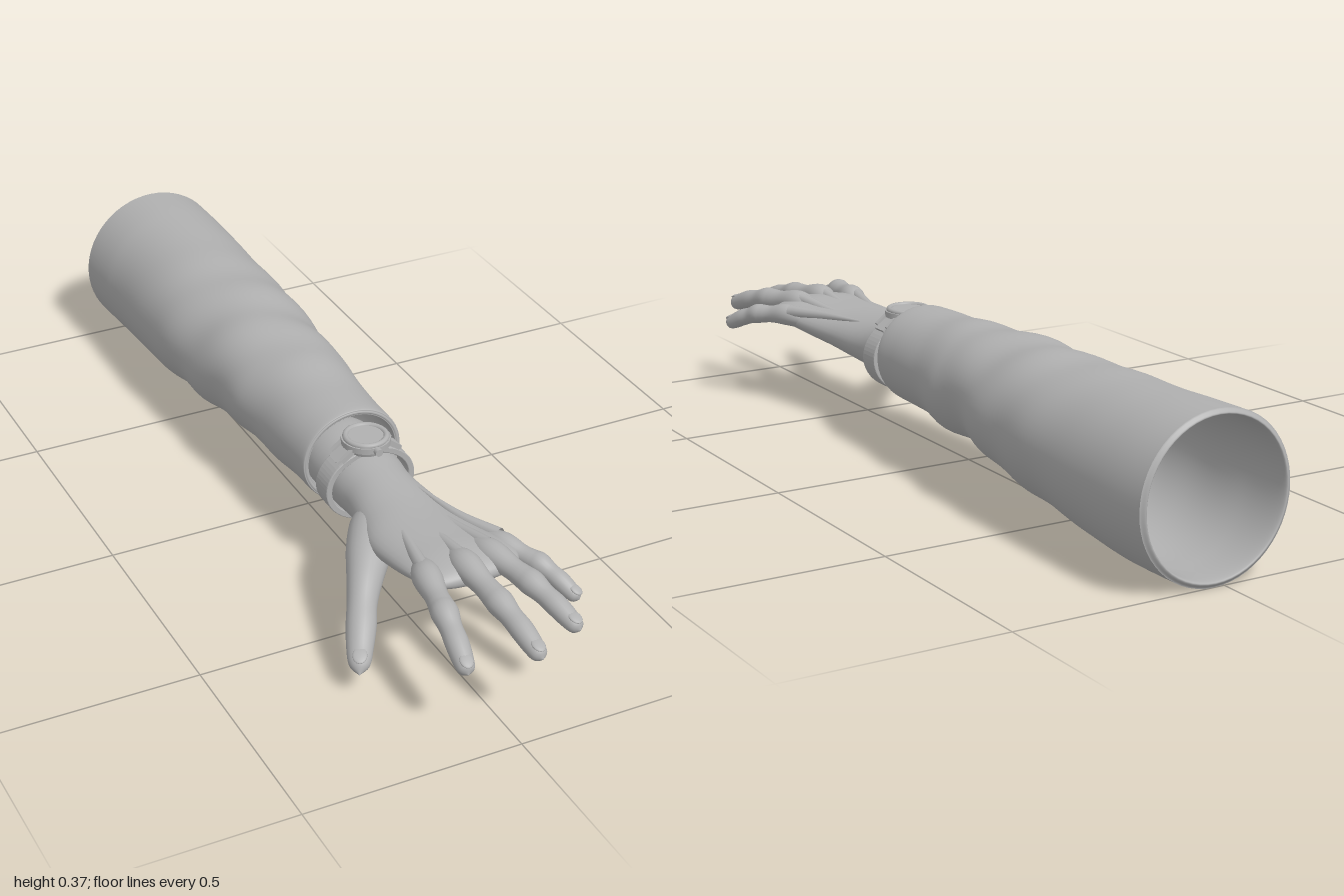
import * as THREE from 'three';

const grey = new THREE.MeshStandardMaterial({ color: 0xb0b0b0, side: THREE.DoubleSide });
grey.name = 'plain grey';

const UP = new THREE.Vector3(0, 1, 0);

function part(name, geometry, parent) {
  const mesh = new THREE.Mesh(geometry, grey);
  mesh.name = name;
  parent.add(mesh);
  return mesh;
}

// Smooth skin over sections [x, y, z, rx, ry]; fixed keeps every ring square to z
function loft(sections, { rings = 40, sides = 24, fixed = false, swell = () => 1 } = {}) {
  const path = new THREE.CatmullRomCurve3(
    sections.map(s => new THREE.Vector3(s[0], s[1], s[2])), false, 'catmullrom', 0.5);
  const size = new THREE.CatmullRomCurve3(
    sections.map(s => new THREE.Vector3(s[3], s[4] ?? s[3], 0)), false, 'catmullrom', 0.5);
  const positions = [], index = [];
  for (let i = 0; i <= rings; i++) {
    const c = path.getPoint(i / rings), r = size.getPoint(i / rings);
    const t = fixed ? new THREE.Vector3(0, 0, 1) : path.getTangent(i / rings);
    const side = UP.clone().cross(t).normalize();
    const v = t.clone().cross(side);
    for (let j = 0; j < sides; j++) {
      const a = j / sides * Math.PI * 2, k = swell(a, c.z);
      const p = c.clone()
        .addScaledVector(side, Math.cos(a) * Math.max(r.x, 0) * k)
        .addScaledVector(v, Math.sin(a) * Math.max(r.y, 0) * k);
      positions.push(p.x, p.y, p.z);
      if (i < rings) {
        const n = (j + 1) % sides, b = i * sides;
        index.push(b + j, b + n, b + sides + j, b + n, b + sides + n, b + sides + j);
      }
    }
  }
  const g = new THREE.BufferGeometry();
  g.setAttribute('position', new THREE.Float32BufferAttribute(positions, 3));
  g.setIndex(index);
  g.computeVertexNormals();
  return g;
}

function addNail(name, from, to, r, parent) {
  const nail = part(name, new THREE.SphereGeometry(1, 16, 10), parent);
  const dir = to.clone().sub(from).normalize();
  const side = UP.clone().cross(dir).normalize();
  const normal = dir.clone().cross(side);
  nail.quaternion.setFromRotationMatrix(new THREE.Matrix4().makeBasis(side, normal, dir));
  nail.position.copy(from).lerp(to, 0.68).addScaledVector(normal, r * 0.82);
  nail.scale.set(r * 0.66, 0.0045, r * 0.85);
}

// Finger from knuckle through middle joint to tip, thicker at the joints
function addFinger(name, knuckle, joint, tip, r, parent) {
  const K = new THREE.Vector3(...knuckle), J = new THREE.Vector3(...joint), T = new THREE.Vector3(...tip);
  const D = J.clone().lerp(T, 0.5).add(new THREE.Vector3(0, 0.004, 0));
  const back = K.clone().add(new THREE.Vector3((0.02 - K.x) * 0.3, -0.012, -0.09));
  const at = (a, b, f, k) => [...a.clone().lerp(b, f).toArray(), r * k];
  const sections = [
    at(back, K, 0, 0.5), at(back, K, 0.5, 1), at(K, J, 0, 1.28), at(K, J, 0.5, 1.02),
    at(K, J, 0.8, 1.1), at(K, J, 1, 1.17), at(J, D, 0.5, 0.97), at(J, D, 1, 1),
    at(D, T, 0.5, 0.9), at(D, T, 0.85, 0.68), at(D, T, 1, 0.02)
  ];
  part(name, loft(sections, { rings: 50, sides: 20 }), parent);
  addNail(name + 'Nail', D, T, r * 0.88, parent);
}

export function createModel() {
  const model = new THREE.Group();
  model.name = 'sleevedArm';

  // Sleeve: outer wall, folded cuff edge, then inner wall back to the open end
  const outer = [
    [0.026, 0.189, -1, 0.185, 0.187], [0.03, 0.189, -0.9, 0.183, 0.186], [0.032, 0.19, -0.8, 0.18, 0.182],
    [0.028, 0.2, -0.6, 0.178, 0.168], [0.03, 0.213, -0.4, 0.168, 0.152],
    [0.024, 0.226, -0.2, 0.146, 0.137], [0.03, 0.227, -0.1, 0.143, 0.131],
    [0.025, 0.226, 0, 0.131, 0.124], [0.025, 0.228, 0.1, 0.126, 0.119], [0.026, 0.228, 0.165, 0.124, 0.117]
  ];
  const inner = outer.slice().reverse().map(([x, y, z, a, b]) => [x, y, z, a - 0.015, b - 0.015]);
  const edge = [[0.026, 0.228, 0.174, 0.119, 0.112], [0.026, 0.228, 0.174, 0.113, 0.106]];
  // Slanting cloth folds, strongest around the forearm
  const folds = (a, z) => {
    const e = Math.exp(-(((z + 0.27) / 0.3) ** 2));
    return 1 + e * (0.026 * Math.sin(z * 32 + a * 2) + 0.014 * Math.sin(z * 19 - a * 3 + 1));
  };
  part('sleeve', loft([...outer, ...edge, ...inner, outer[0]],
    { rings: 220, sides: 56, fixed: true, swell: folds }), model);

  // Hand
  const hand = new THREE.Group();
  hand.name = 'hand';
  model.add(hand);
  part('wristAndPalm', loft([
    [0.02, 0.212, 0.09, 0.001, 0.001], [0.02, 0.212, 0.1, 0.084, 0.078], [0.02, 0.211, 0.25, 0.088, 0.078],
    [0.018, 0.212, 0.33, 0.084, 0.07], [0.016, 0.214, 0.42, 0.098, 0.06], [0.012, 0.218, 0.5, 0.113, 0.053],
    [0.025, 0.226, 0.59, 0.121, 0.046], [0.037, 0.236, 0.66, 0.125, 0.038],
    [0.038, 0.24, 0.71, 0.112, 0.028], [0.038, 0.24, 0.735, 0.08, 0.016], [0.038, 0.24, 0.745, 0.001, 0.001]
  ], { rings: 60, sides: 36, fixed: true }), hand);

  const fingers = [
    ['indexFinger', [-0.065, 0.247, 0.7], [-0.088, 0.24, 0.82], [-0.107, 0.183, 0.955], 0.025],
    ['middleFinger', [0.022, 0.258, 0.71], [0.031, 0.242, 0.84], [0.042, 0.2, 0.995], 0.025],
    ['ringFinger', [0.095, 0.255, 0.69], [0.124, 0.245, 0.81], [0.156, 0.207, 0.952], 0.024],
    ['littleFinger', [0.148, 0.238, 0.65], [0.188, 0.228, 0.735], [0.228, 0.185, 0.832], 0.021]
  ];
  for (const [name, knuckle, joint, tip, r] of fingers) {
    addFinger(name, knuckle, joint, tip, r, hand);
    // Tendon across the back of the hand
    const [x, y, z] = knuckle;
    part(name + 'Tendon', loft([
      [0.02 + (x - 0.02) * 0.4, 0.262, 0.4, 0.003], [0.02 + (x - 0.02) * 0.65, 0.254, 0.53, 0.011],
      [x, y + 0.012, z - 0.02, 0.016]
    ], { rings: 16, sides: 12 }), hand);
  }

  part('thumb', loft([
    [-0.02, 0.205, 0.36, 0.02, 0.02], [-0.045, 0.2, 0.41, 0.048, 0.045], [-0.088, 0.188, 0.48, 0.05, 0.046],
    [-0.128, 0.165, 0.54, 0.04, 0.04], [-0.16, 0.138, 0.59, 0.033, 0.033], [-0.182, 0.115, 0.63, 0.033, 0.031],
    [-0.205, 0.09, 0.67, 0.029, 0.026], [-0.222, 0.073, 0.702, 0.022, 0.02], [-0.231, 0.063, 0.72, 0.001, 0.001]
  ], { rings: 54 }), hand);
  addNail('thumbNail', new THREE.Vector3(-0.186, 0.11, 0.635), new THREE.Vector3(-0.231, 0.065, 0.72), 0.024, hand);

  // Watch
  const watch = new THREE.Group();
  watch.name = 'watch';
  watch.position.set(0.023, 0, 0.245);
  model.add(watch);
  const strap = new THREE.Shape().absellipse(0, 0.21, 0.109, 0.088, 0, Math.PI * 2);
  strap.holes.push(new THREE.Path().absellipse(0, 0.21, 0.098, 0.077, 0, Math.PI * 2, true));
  part('strap', new THREE.ExtrudeGeometry(strap, {
    depth: 0.05, bevelEnabled: true, bevelThickness: 0.003, bevelSize: 0.002, bevelSegments: 2, curveSegments: 32
  }), watch).position.z = -0.025;
  const disc = (name, r1, r2, h, y) =>
    part(name, new THREE.CylinderGeometry(r1, r2, h, 40), watch).position.set(0, y, 0);
  disc('watchBack', 0.05, 0.046, 0.012, 0.298);
  disc('watchCase', 0.056, 0.056, 0.014, 0.311);
  disc('watchDial', 0.042, 0.042, 0.006, 0.319);
  const bezel = part('bezel', new THREE.TorusGeometry(0.046, 0.007, 10, 40), watch);
  bezel.rotation.x = Math.PI / 2;
  bezel.position.y = 0.32;
  const crown = part('crown', new THREE.CylinderGeometry(0.009, 0.009, 0.014, 16), watch);
  crown.rotation.x = Math.PI / 2;
  crown.position.set(0, 0.311, 0.06);
  for (const s of [-1, 1]) {
    for (const z of [-0.024, 0.024]) {
      const lug = part('lug', new THREE.BoxGeometry(0.042, 0.012, 0.01), watch);
      lug.position.set(s * 0.056, 0.297, z);
      lug.rotation.z = -s * 0.65;
    }
    const link = part('strapEnd', new THREE.BoxGeometry(0.04, 0.01, 0.04), watch);
    link.position.set(s * 0.062, 0.287, 0);
    link.rotation.z = -s * 0.6;
  }
  return model;
}
